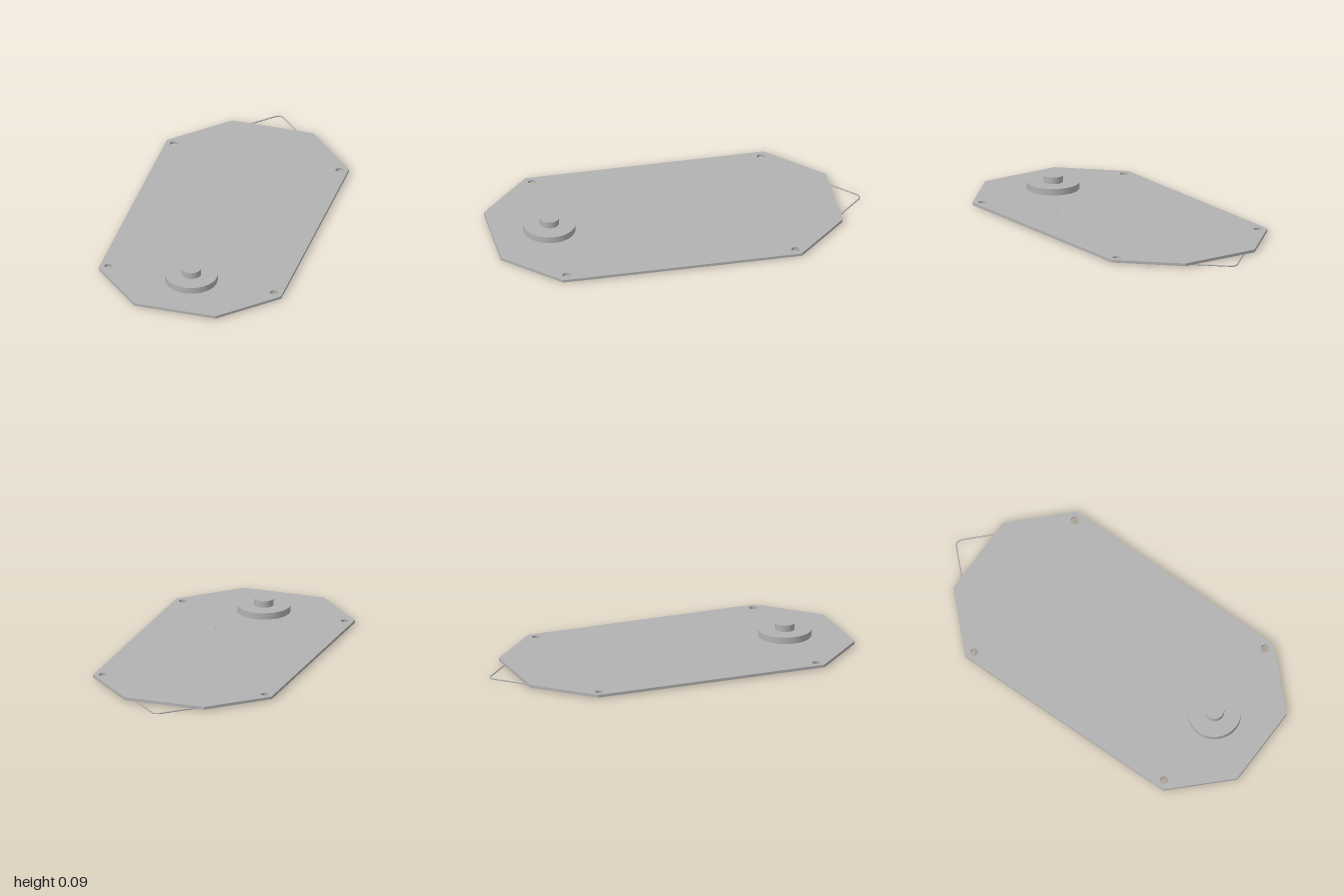
import * as THREE from 'three';

export function createModel() {
  const group = new THREE.Group();
  const grey = new THREE.MeshStandardMaterial({ color: 0xb2b2b2 });
  grey.name = 'plain grey';

  const add = (name, geometry, x = 0, y = 0, z = 0) => {
    const mesh = new THREE.Mesh(geometry, grey);
    mesh.name = name;
    mesh.position.set(x, y, z);
    group.add(mesh);
    return mesh;
  };
  const disc = (name, r, y0, y1, x, z, sides = 48) =>
    add(name, new THREE.CylinderGeometry(r, r, y1 - y0, sides), x, (y0 + y1) / 2, z);

  const bottom = 0.007, top = 0.022;

  // Chamfered plate with four corner holes, drawn as (x, -z) and laid flat
  const outline = [
    [-0.225, -1], [0.225, -1], [0.506, -0.717], [0.506, 0.58],
    [0.225, 0.86], [-0.225, 0.86], [-0.506, 0.58], [-0.506, -0.717],
  ];
  const shape = new THREE.Shape(outline.map(([x, y]) => new THREE.Vector2(x, y)));
  for (const x of [-0.46, 0.46]) {
    for (const y of [0.555, -0.69]) {
      shape.holes.push(new THREE.Path().absarc(x, y, 0.022, 0, Math.PI * 2, true));
    }
  }
  const plate = new THREE.ExtrudeGeometry(shape, {
    depth: top - bottom, bevelEnabled: false, curveSegments: 16,
  });
  plate.rotateX(-Math.PI / 2);
  add('plate', plate, 0, bottom, 0);

  // Stepped knob near the front
  disc('knobBase', 0.141, top, 0.058, 0, 0.69);
  disc('knob', 0.052, 0.058, 0.094, 0, 0.69);

  // Tiny studs beside the knob
  for (const [x, z] of [[0.145, 0.33], [0.16, 0.37], [0.185, 0.31], [0.2, 0.35], [0.225, 0.33]]) {
    disc('stud', 0.003, top, 0.0245, x, z, 8);
  }

  // Hanging wire under the plate, bent round at the back
  const r = 0.004;
  const at = (x, z) => new THREE.Vector3(x, r, z);
  const path = new THREE.CurvePath();
  path.add(new THREE.LineCurve3(at(-0.46, -0.555), at(-0.025, -0.985)));
  path.add(new THREE.QuadraticBezierCurve3(at(-0.025, -0.985), at(0, -1.008), at(0.025, -0.985)));
  path.add(new THREE.LineCurve3(at(0.025, -0.985), at(0.46, -0.555)));
  add('hangingWire', new THREE.TubeGeometry(path, 160, r, 10, false));
  // Closed wire ends
  for (const x of [-0.46, 0.46]) add('wireEnd', new THREE.SphereGeometry(r, 10, 8), x, r, -0.555);

  return group;
}
